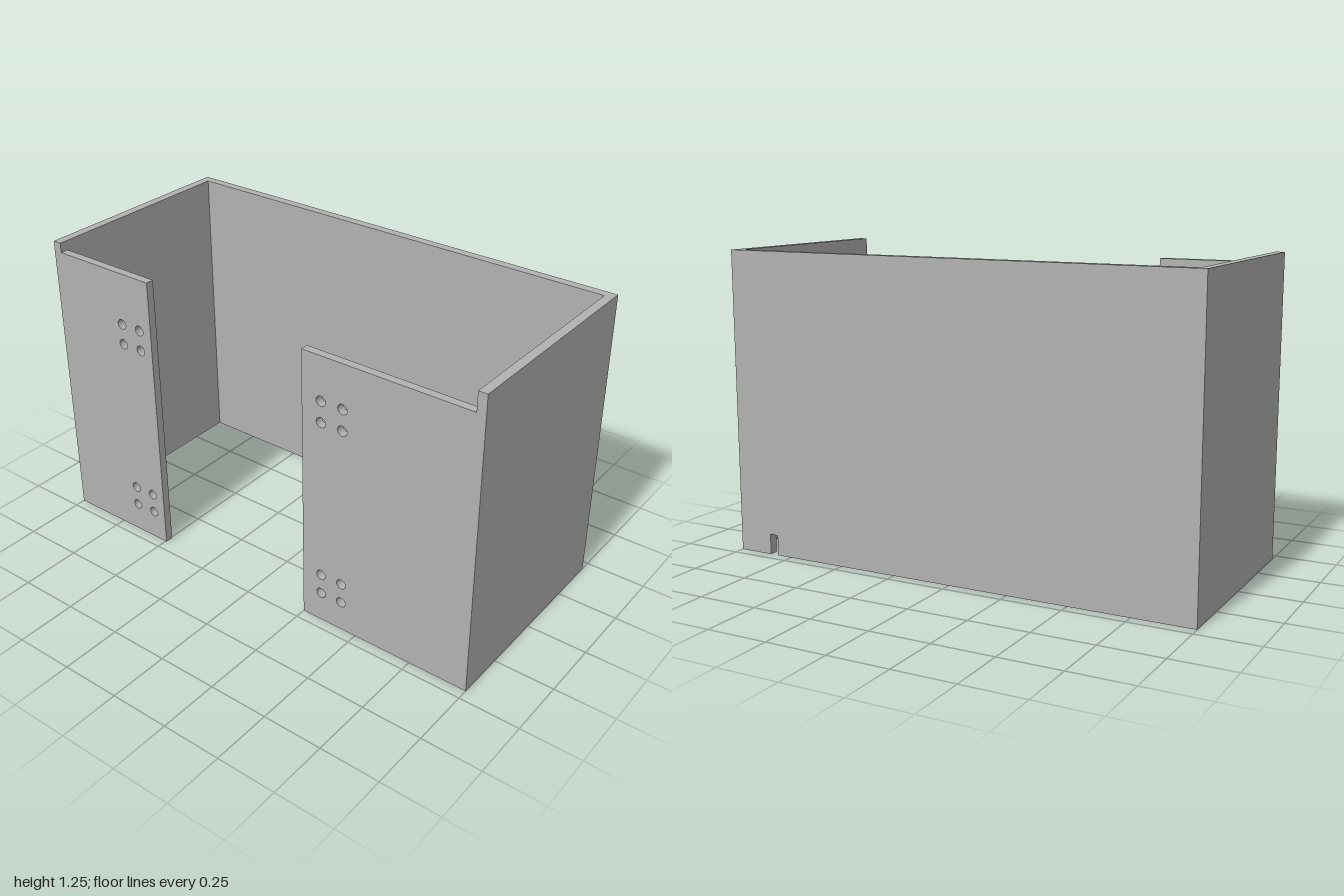
import * as THREE from 'three';

const HALF_X = 0.455, HALF_Z = 1, HEIGHT = 1.25, T = 0.037;

export function createModel() {
  const model = new THREE.Group();
  const grey = new THREE.MeshStandardMaterial({ color: 0xb2b2b2 });
  grey.name = 'grey';

  // Upright plate drawn in (z, y), extruded from xMax towards -x
  function sidePlate(name, shape, xMax, depth) {
    const geometry = new THREE.ExtrudeGeometry(shape, { depth, bevelEnabled: false, curveSegments: 24 });
    geometry.rotateY(-Math.PI / 2);
    const mesh = new THREE.Mesh(geometry, grey);
    mesh.name = name;
    mesh.position.x = xMax;
    model.add(mesh);
  }

  // Full side wall with a small cable notch in its lower edge
  const wall = new THREE.Shape([
    [-HALF_Z, 0], [0.815, 0], [0.815, 0.085], [0.852, 0.085], [0.852, 0],
    [HALF_Z, 0], [HALF_Z, HEIGHT], [-HALF_Z, HEIGHT],
  ].map(([z, y]) => new THREE.Vector2(z, y)));
  sidePlate('sideWall', wall, HALF_X, T);

  // Front and back end walls
  const width = HALF_X * 2 - T;
  for (const [name, side] of [['frontWall', 1], ['backWall', -1]]) {
    const mesh = new THREE.Mesh(new THREE.BoxGeometry(width, HEIGHT, T), grey);
    mesh.name = name;
    mesh.position.set(-T / 2, HEIGHT / 2, side * (HALF_Z - T / 2));
    model.add(mesh);
  }

  // Shorter panels on the open side, each with two groups of four bolt holes
  function boltPanel(name, z0, z1, top, holeZs) {
    const shape = new THREE.Shape([
      new THREE.Vector2(z0, 0), new THREE.Vector2(z1, 0),
      new THREE.Vector2(z1, top), new THREE.Vector2(z0, top),
    ]);
    for (const z of holeZs) {
      for (const y of [0.13, 0.217, 0.9, 0.988]) {
        shape.holes.push(new THREE.Path().absarc(z, y, 0.021, 0, Math.PI * 2, true));
      }
    }
    sidePlate(name, shape, -HALF_X + 0.034, 0.034);
  }
  boltPanel('frontBoltPanel', 0.25, HALF_Z - T, 1.17, [0.336, 0.431]);
  boltPanel('backBoltPanel', -HALF_Z + T, -0.494, 1.21, [-0.649, -0.555]);

  return model;
}
